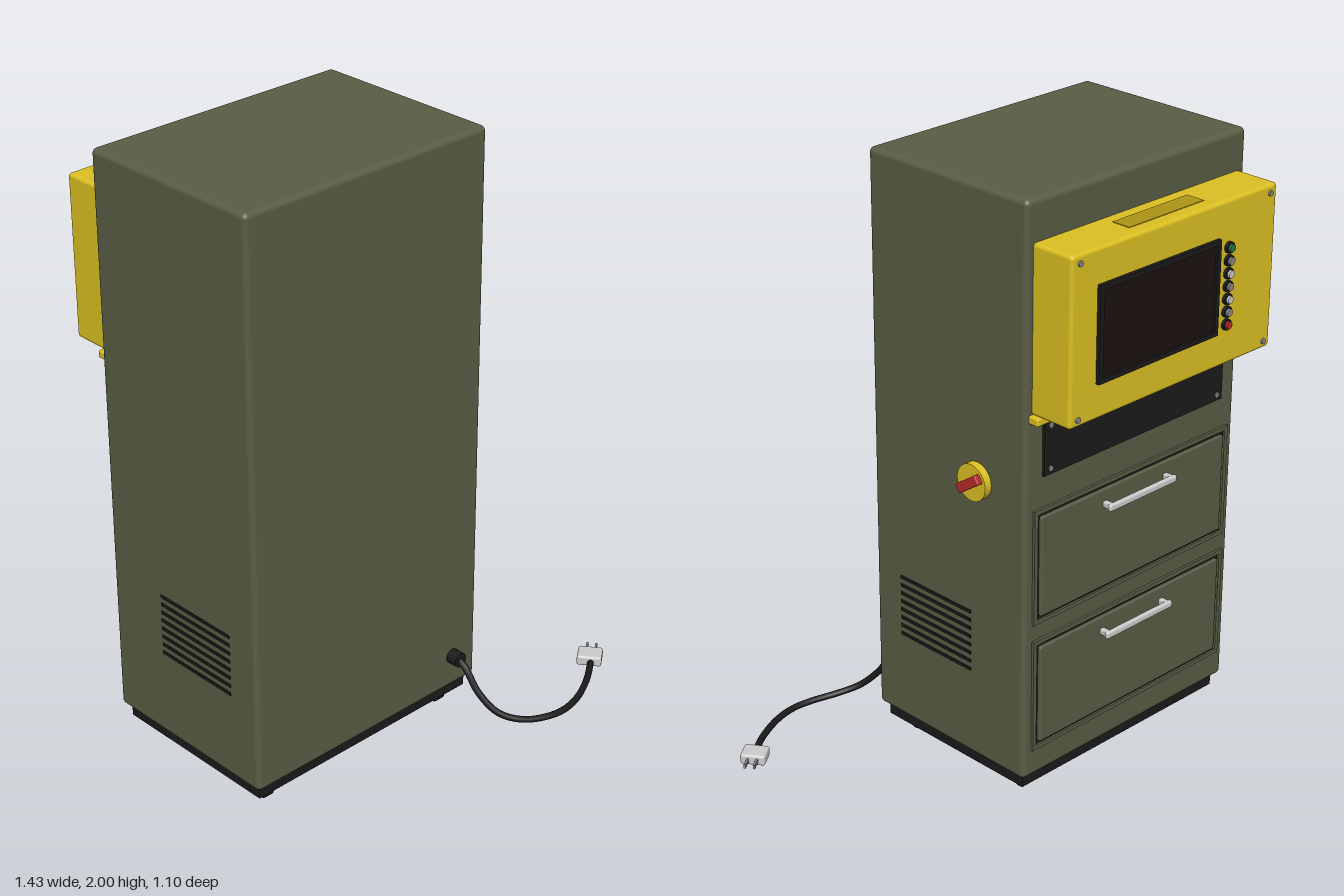
import * as THREE from 'three';
import { RoundedBoxGeometry } from 'three/addons/geometries/RoundedBoxGeometry.js';

const mat = (color) => new THREE.MeshStandardMaterial({ color });
const olive = mat(0x5a5d45), yellow = mat(0xdcc022), darkYellow = mat(0xac9415), black = mat(0x1a1a1a),
  glass = mat(0x1c1210), red = mat(0xb52a2a), green = mat(0x1f7a45), grey = mat(0xcccccc), steel = mat(0x8a8a8a);

const CX = -0.242; // cabinet centre line
const BACK = -0.385; // plane of the working face

export function createModel() {
  const root = new THREE.Group();

  const add = (name, geometry, material, x, y, z, parent = root) => {
    const mesh = new THREE.Mesh(geometry, material);
    mesh.name = name;
    mesh.position.set(x, y, z);
    parent.add(mesh);
    return mesh;
  };
  const box = (name, w, h, d, material, x, y, z, parent) =>
    add(name, new THREE.BoxGeometry(w, h, d), material, x, y, z, parent);
  const rounded = (name, w, h, d, r, material, x, y, z, parent) =>
    add(name, new RoundedBoxGeometry(w, h, d, 4, r), material, x, y, z, parent);
  const discZ = (name, r, depth, material, x, y, z, parent) =>
    add(name, new THREE.CylinderGeometry(r, r, depth, 24).rotateX(Math.PI / 2), material, x, y, z, parent);
  const discX = (name, r, depth, material, x, y, z, parent) =>
    add(name, new THREE.CylinderGeometry(r, r, depth, 32).rotateZ(Math.PI / 2), material, x, y, z, parent);

  // Cabinet and plinth
  rounded('cabinet', 0.933, 1.9, 0.66, 0.018, olive, CX, 1.05, -0.055);
  box('plinth', 0.885, 0.05, 0.61, black, CX, 0.08, -0.055);

  // Casters
  for (const x of [-0.615, 0.13]) {
    for (const z of [0.19, -0.29]) {
      const caster = new THREE.Group();
      caster.name = 'caster';
      caster.position.set(x, 0, z);
      root.add(caster);
      discX('wheel', 0.03, 0.03, black, 0, 0.03, 0, caster);
      discX('hub', 0.019, 0.042, grey, 0, 0.03, 0, caster);
      box('mount', 0.065, 0.012, 0.055, steel, 0, 0.052, 0, caster);
    }
  }

  // Vent slats on both sides
  for (const x of [-0.708, 0.2245]) {
    for (let i = 0; i < 8; i++) {
      box('ventSlat', 0.006, 0.011, 0.315, black, x, 0.405 + i * 0.029, 0.002);
    }
  }

  // Rotary main switch
  const mainSwitch = new THREE.Group();
  mainSwitch.name = 'mainSwitch';
  mainSwitch.position.set(0.225, 1.07, -0.185);
  root.add(mainSwitch);
  discX('switchPlate', 0.06, 0.026, yellow, 0.012, 0, 0, mainSwitch);
  const knob = rounded('switchKnob', 0.022, 0.032, 0.1, 0.005, red, 0.034, 0, 0, mainSwitch);
  knob.rotation.x = 0.6;

  // Control box with mounting rail and top label plate
  rounded('controlBox', 0.88, 0.53, 0.16, 0.012, yellow, CX, 1.605, -0.455);
  rounded('mountingRail', 0.905, 0.026, 0.045, 0.006, yellow, CX, 1.329, -0.398);
  box('topPlate', 0.32, 0.004, 0.065, darkYellow, CX, 1.87, -0.457);
  for (const sx of [-1, 1]) {
    for (const y of [1.365, 1.843]) discZ('boxScrew', 0.009, 0.008, steel, CX + sx * 0.408, y, -0.537);
  }

  // Display: bezel with a recessed screen
  const frame = (w, h, border, depth) => {
    const rect = (path, a, b) => path.moveTo(-a, -b).lineTo(a, -b).lineTo(a, b).lineTo(-a, b).closePath();
    const shape = rect(new THREE.Shape(), w / 2, h / 2);
    shape.holes.push(rect(new THREE.Path(), w / 2 - border, h / 2 - border));
    return new THREE.ExtrudeGeometry(shape, { depth, bevelEnabled: false }).translate(0, 0, -depth);
  };
  add('displayBezel', frame(0.515, 0.305, 0.016, 0.014), black, -0.165, 1.607, -0.534);
  box('screen', 0.485, 0.275, 0.006, glass, -0.165, 1.607, -0.537);

  // Push buttons in a column
  const caps = [red, steel, grey, steel, grey, steel, green];
  caps.forEach((cap, i) => {
    const y = 1.475 + i * 0.041;
    discZ('buttonRing', 0.018, 0.012, black, -0.468, y, -0.54);
    discZ('buttonCap', 0.012, 0.022, cap, -0.468, y, -0.543);
  });

  // Dark access panel with screws
  box('accessPanel', 0.79, 0.18, 0.012, black, CX, 1.22, BACK - 0.003);
  for (const sx of [-1, 1]) {
    for (const y of [1.15, 1.29]) discZ('panelScrew', 0.009, 0.006, steel, CX + sx * 0.37, y, BACK - 0.01);
  }

  // Drawers with frames and bar handles
  for (const y of [0.39, 0.833]) {
    const drawer = new THREE.Group();
    drawer.name = 'drawer';
    drawer.position.set(CX, y, BACK);
    root.add(drawer);
    add('drawerFrame', frame(0.865, 0.385, 0.014, 0.009), olive, 0, 0, 0, drawer);
    box('drawerGap', 0.84, 0.36, 0.004, black, 0, 0, 0, drawer);
    rounded('drawerFront', 0.815, 0.335, 0.018, 0.005, olive, 0, 0, -0.005, drawer);
    rounded('handleBar', 0.3, 0.024, 0.016, 0.007, grey, 0, 0.118, -0.044, drawer);
    for (const sx of [-1, 1]) {
      rounded('handlePost', 0.02, 0.02, 0.04, 0.005, grey, sx * 0.135, 0.118, -0.026, drawer);
    }
  }

  // Power cable
  discZ('cableGland', 0.025, 0.042, black, 0.12, 0.215, 0.293);
  const path = [
    [0.12, 0.215, 0.3], [0.121, 0.195, 0.335], [0.128, 0.125, 0.385], [0.16, 0.06, 0.445],
    [0.22, 0.03, 0.495], [0.3, 0.02, 0.53], [0.37, 0.018, 0.54], [0.45, 0.018, 0.525],
    [0.55, 0.02, 0.478], [0.635, 0.024, 0.42],
  ].map((p) => new THREE.Vector3(...p));
  add('cable', new THREE.TubeGeometry(new THREE.CatmullRomCurve3(path), 80, 0.011, 10), black, 0, 0, 0);

  // Plug with two prongs
  const plug = new THREE.Group();
  plug.name = 'plug';
  plug.position.set(0.652, 0.026, 0.4);
  plug.rotation.y = 0.63;
  root.add(plug);
  rounded('plugBody', 0.07, 0.036, 0.082, 0.008, grey, 0, 0, 0, plug);
  for (const z of [-0.015, 0.015]) {
    box('prong', 0.04, 0.014, 0.007, steel, 0.052, 0, z, plug);
  }

  return root;
}
